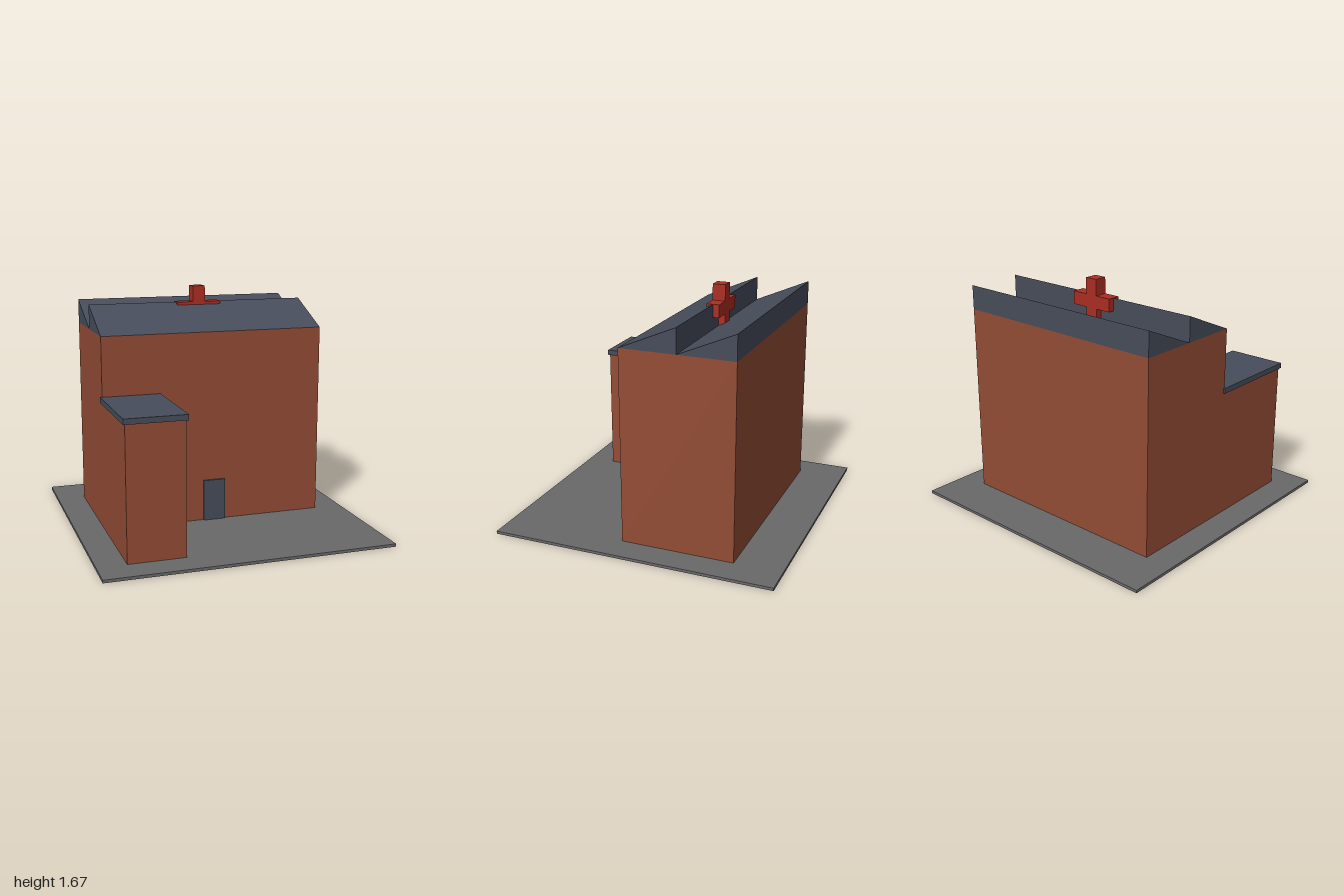
import * as THREE from 'three';

const material = (name, color) => {
  const m = new THREE.MeshStandardMaterial({ color });
  m.name = name;
  return m;
};

export function createModel() {
  const model = new THREE.Group();
  model.name = 'sawtoothRoofBuilding';

  const brick = material('brick', 0x934c35);
  const slate = material('slate', 0x464c5a);
  const red = material('red', 0xab2d22);
  const paving = material('paving', 0x696969);

  // Box given by its lower and upper corners
  const box = (name, mat, [x0, y0, z0], [x1, y1, z1]) => {
    const mesh = new THREE.Mesh(new THREE.BoxGeometry(x1 - x0, y1 - y0, z1 - z0), mat);
    mesh.position.set((x0 + x1) / 2, (y0 + y1) / 2, (z0 + z1) / 2);
    mesh.name = name;
    model.add(mesh);
  };

  // Ground slab, main block and front wing
  box('groundSlab', paving, [-1, 0, -1], [1, 0.02, 1]);
  box('mainBlock', brick, [-0.8, 0.02, -0.667], [0.8, 1.382, 0.132]);
  box('frontWing', brick, [-0.8, 0.02, 0.132], [-0.405, 0.93, 0.8]);
  box('wingRoof', slate, [-0.813, 0.93, 0.12], [-0.39, 0.968, 0.811]);
  box('door', slate, [-0.08, 0.02, 0.125], [0.078, 0.316, 0.147]);

  // Two sawtooth roof wedges: slope towards the front, upright at the back
  const tooth = new THREE.Shape([
    new THREE.Vector2(0, 0),
    new THREE.Vector2(0.4, 0),
    new THREE.Vector2(0.4, 0.173),
  ]);
  const wedge = new THREE.ExtrudeGeometry(tooth, { depth: 1.6, bevelEnabled: false });
  wedge.rotateY(Math.PI / 2); // profile runs along -z, length along +x
  [0.132, -0.267].forEach((z, i) => {
    const mesh = new THREE.Mesh(wedge, slate);
    mesh.position.set(-0.8, 1.382, z);
    mesh.name = i ? 'rearRoofTooth' : 'frontRoofTooth';
    model.add(mesh);
  });

  // Cross standing on the ridge of the front tooth
  box('crossUpright', red, [-0.045, 1.352, -0.313], [0.045, 1.67, -0.222]);
  for (const side of [-1, 1]) {
    const [a, b] = side < 0 ? [-0.162, -0.045] : [0.045, 0.162];
    box(side < 0 ? 'crossArmRight' : 'crossArmLeft', red, [a, 1.466, -0.313], [b, 1.557, -0.222]);
  }

  return model;
}
